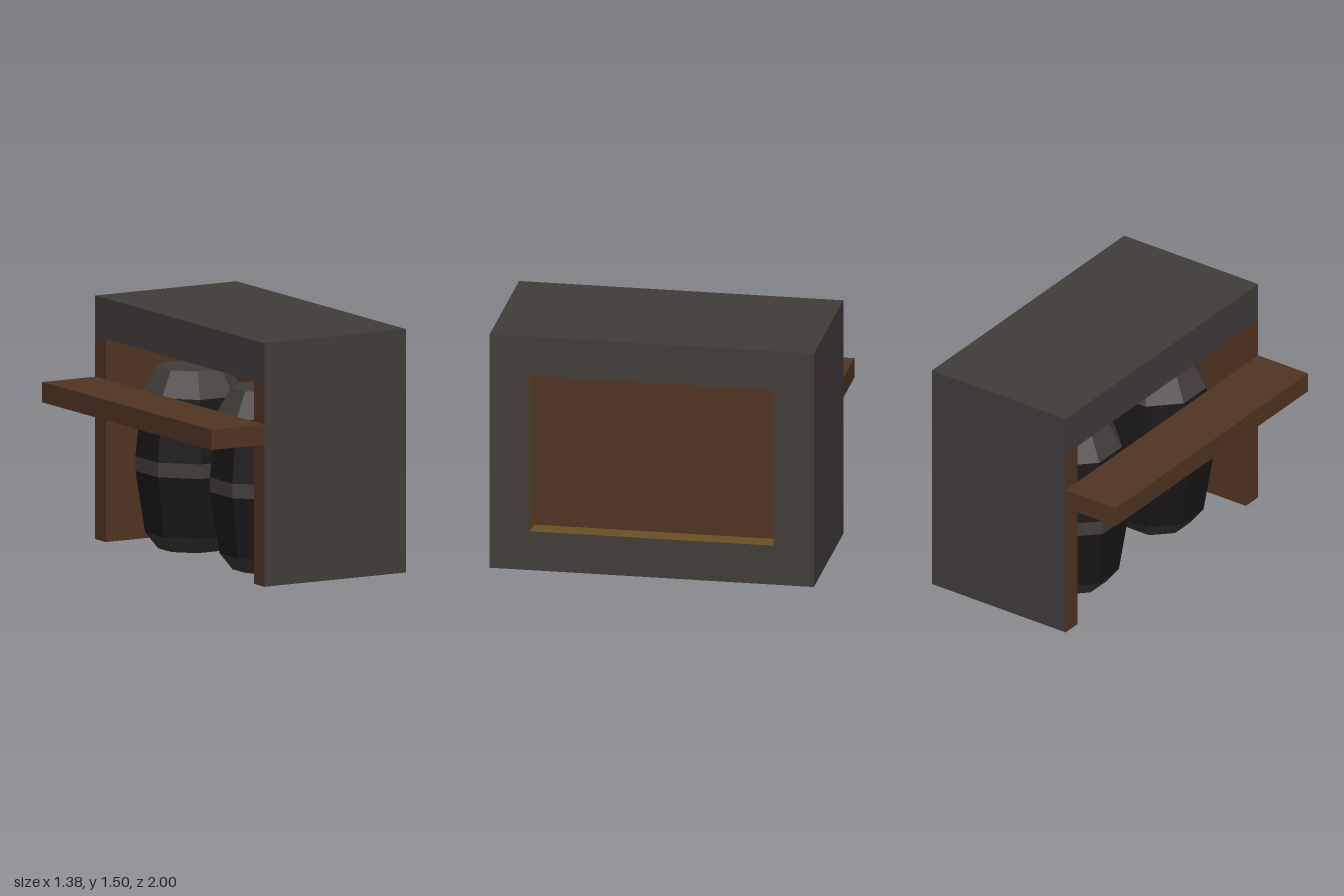
import * as THREE from 'three';

const paint = (color) => new THREE.MeshStandardMaterial({ color, side: THREE.DoubleSide, flatShading: true });

export function createModel() {
  const model = new THREE.Group();
  const stone = paint(0x413d3b), wood = paint(0x503523), trim = paint(0x6b5024), black = paint(0x1a1718);

  // Thin axis-aligned panel between two corners; dir is the side its normal points to
  function panel(name, mat, [x0, y0, z0], [x1, y1, z1], dir) {
    const w = x1 - x0, h = y1 - y0, d = z1 - z0;
    let geo;
    if (w === 0) geo = new THREE.PlaneGeometry(d, h).rotateY(dir * Math.PI / 2);
    else if (h === 0) geo = new THREE.PlaneGeometry(w, d).rotateX(-dir * Math.PI / 2);
    else geo = new THREE.PlaneGeometry(w, h).rotateY(dir > 0 ? 0 : Math.PI);
    const mesh = new THREE.Mesh(geo, mat);
    mesh.name = name;
    mesh.position.set((x0 + x1) / 2, (y0 + y1) / 2, (z0 + z1) / 2);
    model.add(mesh);
  }

  const L = -0.3125, R = 0.6875, H = 1.5, T = 0.125, inner = R - T, open = 1.25;

  // Outer shell
  panel('roof', stone, [L, H, -1], [R, H, 1], 1);
  panel('openingHeader', stone, [L, open, -1], [L, H, 1], -1);

  // Window wall with its rectangular hole
  const wall = new THREE.Shape([[-1, 0], [1, 0], [1, H], [-1, H]].map((p) => new THREE.Vector2(...p)));
  wall.holes.push(new THREE.Path([[-0.75, 0.25], [-0.75, 1.25], [0.75, 1.25], [0.75, 0.25]].map((p) => new THREE.Vector2(...p))));
  const windowWall = new THREE.Mesh(new THREE.ShapeGeometry(wall).rotateY(Math.PI / 2), stone);
  windowWall.name = 'windowWall';
  windowWall.position.x = R;
  model.add(windowWall);

  // Window reveals
  panel('windowSill', trim, [inner, 0.25, -0.75], [R, 0.25, 0.75], 1);
  panel('windowHead', stone, [inner, 1.25, -0.75], [R, 1.25, 0.75], -1);

  // End walls, their linings and the strips beside the opening
  for (const s of [-1, 1]) {
    panel('endWall', stone, [L, 0, s], [R, H, s], s);
    panel('endLining', wood, [L, 0, s * (1 - T)], [inner, open, s * (1 - T)], -s);
    panel('openingJamb', wood, [L, 0, s > 0 ? 1 - T : -1], [L, open, s > 0 ? 1 : T - 1], -1);
    panel('windowReveal', trim, [inner, 0.25, s * 0.75], [R, 1.25, s * 0.75], -s);
  }

  // Inner lining
  panel('backLining', wood, [inner, 0, T - 1], [inner, open, 1 - T], -1);
  panel('ceiling', wood, [L, open, T - 1], [inner, open, 1 - T], -1);

  // Counter shelf, hollow underneath
  const edge = -R, y0 = 0.875, y1 = 1;
  panel('shelfTop', wood, [edge, y1, -1], [L, y1, 1], 1);
  panel('shelfFront', wood, [edge, y0, -1], [edge, y1, 1], -1);
  for (const s of [-1, 1]) panel('shelfEnd', wood, [edge, y0, s], [L, y1, s], s);

  // Two upright barrels: black staves between grey foot, hoop and shoulder
  const bands = [
    ['barrelFoot', stone, [[0, 0], [0.21, 0], [0.29, 0.1]]],
    ['barrelLowerStaves', black, [[0.29, 0.1], [0.35, 0.48]]],
    ['barrelHoop', stone, [[0.35, 0.48], [0.35, 0.57]]],
    ['barrelUpperStaves', black, [[0.35, 0.57], [0.31, 0.96]]],
    ['barrelShoulder', stone, [[0.31, 0.96], [0.22, 1.12], [0, 1.12]]],
  ];
  for (const z of [-0.44, 0.44]) {
    const barrel = new THREE.Group();
    barrel.name = 'barrel';
    for (const [name, mat, profile] of bands) {
      const band = new THREE.Mesh(new THREE.LatheGeometry(profile.map((p) => new THREE.Vector2(...p)), 8), mat);
      band.name = name;
      barrel.add(band);
    }
    barrel.position.set(0.04, 0, z);
    barrel.rotation.y = Math.PI / 8;
    model.add(barrel);
  }
  return model;
}
